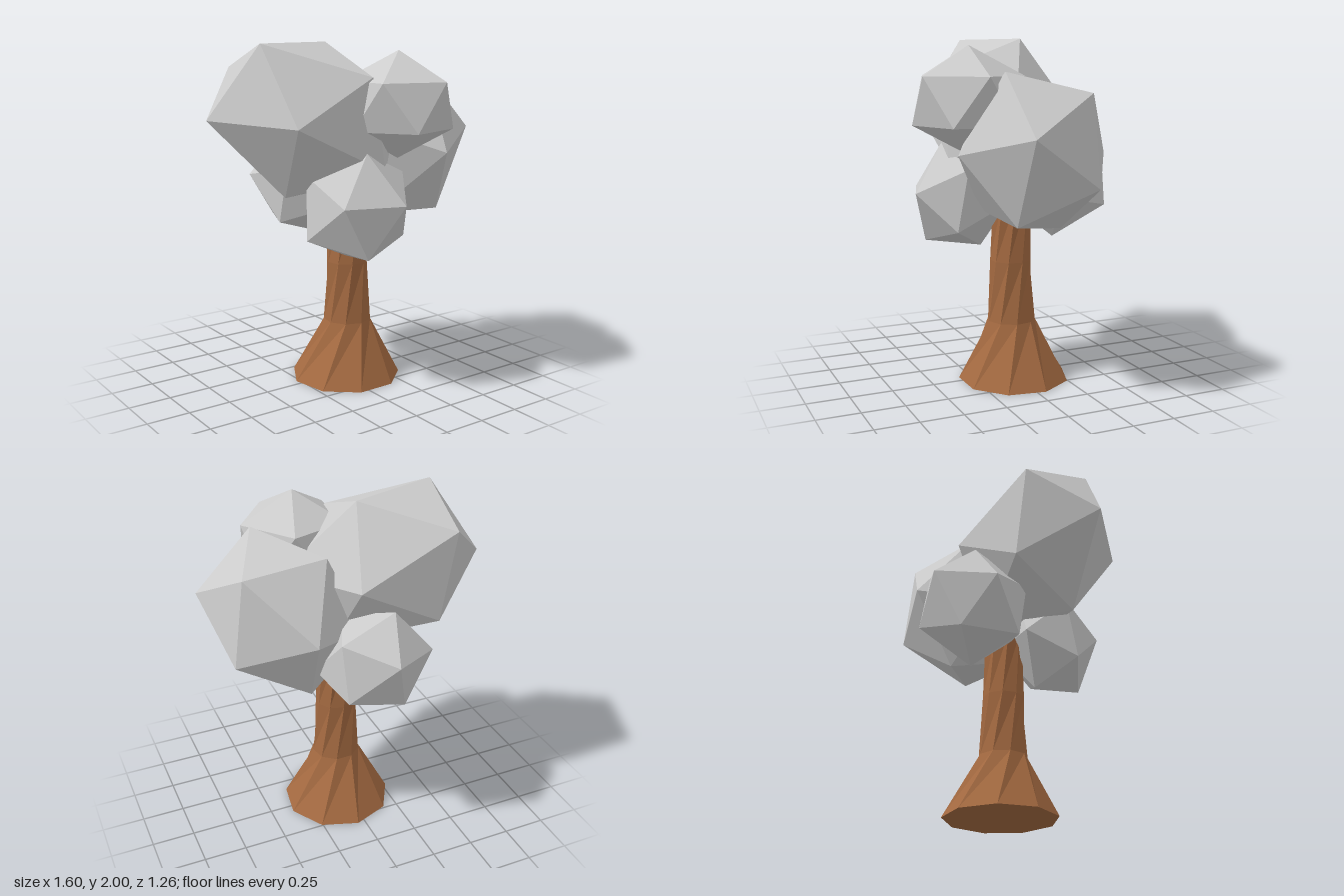
import * as THREE from 'three';
import { ConvexGeometry } from 'three/addons/geometries/ConvexGeometry.js';

const PHI = (1 + Math.sqrt(5)) / 2;

// Stretched icosahedron given by its centre and the three corners of one face
// (relative to the centre); the other corners follow by golden ratio and mirroring.
function clumpGeometry(centre, face) {
  const [a, b, c] = face.map((p) => new THREE.Vector3(...p));
  const across = (p, q, r) => p.clone().add(q).divideScalar(PHI).sub(r);
  const half = [a, b, c, across(a, b, c), across(a, c, b), across(b, c, a)];
  const corners = half.flatMap((p) => [p, p.clone().negate()]);
  return new ConvexGeometry(corners).translate(...centre);
}

// Nine-sided trunk, tapering and twisting from ring to ring
function trunkGeometry() {
  const rings = [
    // height, radius, centre x, centre z, twist in degrees
    [0, 0.328, 0.05, 0.01, 21],
    [0.36, 0.142, 0.05, 0.027, 41],
    [0.72, 0.121, 0.045, 0.027, 61],
    [1.1, 0.115, 0.05, 0.025, 81],
  ];
  const geometry = new THREE.CylinderGeometry(1, 1, 1, 9, rings.length - 1);
  const position = geometry.attributes.position;
  const up = new THREE.Vector3(0, 1, 0);
  const p = new THREE.Vector3();
  for (let i = 0; i < position.count; i++) {
    p.fromBufferAttribute(position, i);
    const [y, radius, x, z, twist] = rings[Math.round((p.y + 0.5) * (rings.length - 1))];
    p.setY(0).multiplyScalar(radius).applyAxisAngle(up, THREE.MathUtils.degToRad(twist));
    position.setXYZ(i, p.x + x, y, p.z + z);
  }
  const flat = geometry.toNonIndexed();
  flat.computeVertexNormals();
  return flat;
}

export function createModel() {
  const tree = new THREE.Group();
  tree.name = 'tree';
  const bark = new THREE.MeshStandardMaterial({ color: 0xa46a41, flatShading: true });
  const leaves = new THREE.MeshStandardMaterial({ color: 0xcccccc, flatShading: true });

  const add = (name, geometry, material) => {
    const mesh = new THREE.Mesh(geometry, material);
    mesh.name = name;
    tree.add(mesh);
  };

  add('trunk', trunkGeometry(), bark);

  // Foliage clumps: name, centre, one face
  const clumps = [
    ['upperRightFoliage', [-0.235, 1.58, 0.02],
      [[-0.335, 0.42, 0.08], [0.195, 0.42, -0.09], [0.185, 0.24, 0.38]]],
    ['leftFoliage', [0.37, 1.375, 0.03],
      [[0.43, 0.115, 0.19], [0.09, 0.445, 0.21], [0.28, 0.335, -0.21]]],
    ['frontUpperFoliage', [0.175, 1.66, 0.335],
      [[0, 0.3, 0], [0.31, 0.135, 0], [0.096, 0.135, 0.295]]],
    ['frontLowerFoliage', [-0.08, 1.105, 0.286],
      [[0.11, 0.035, 0.314], [-0.22, 0.035, 0.204], [-0.06, -0.265, 0.204]]],
    ['backFoliage', [-0.04, 1.155, -0.315],
      [[-0.01, 0.11, -0.315], [-0.09, 0.315, -0.075], [0.245, 0.205, -0.125]]],
  ];
  for (const [name, centre, face] of clumps) add(name, clumpGeometry(centre, face), leaves);

  return tree;
}
